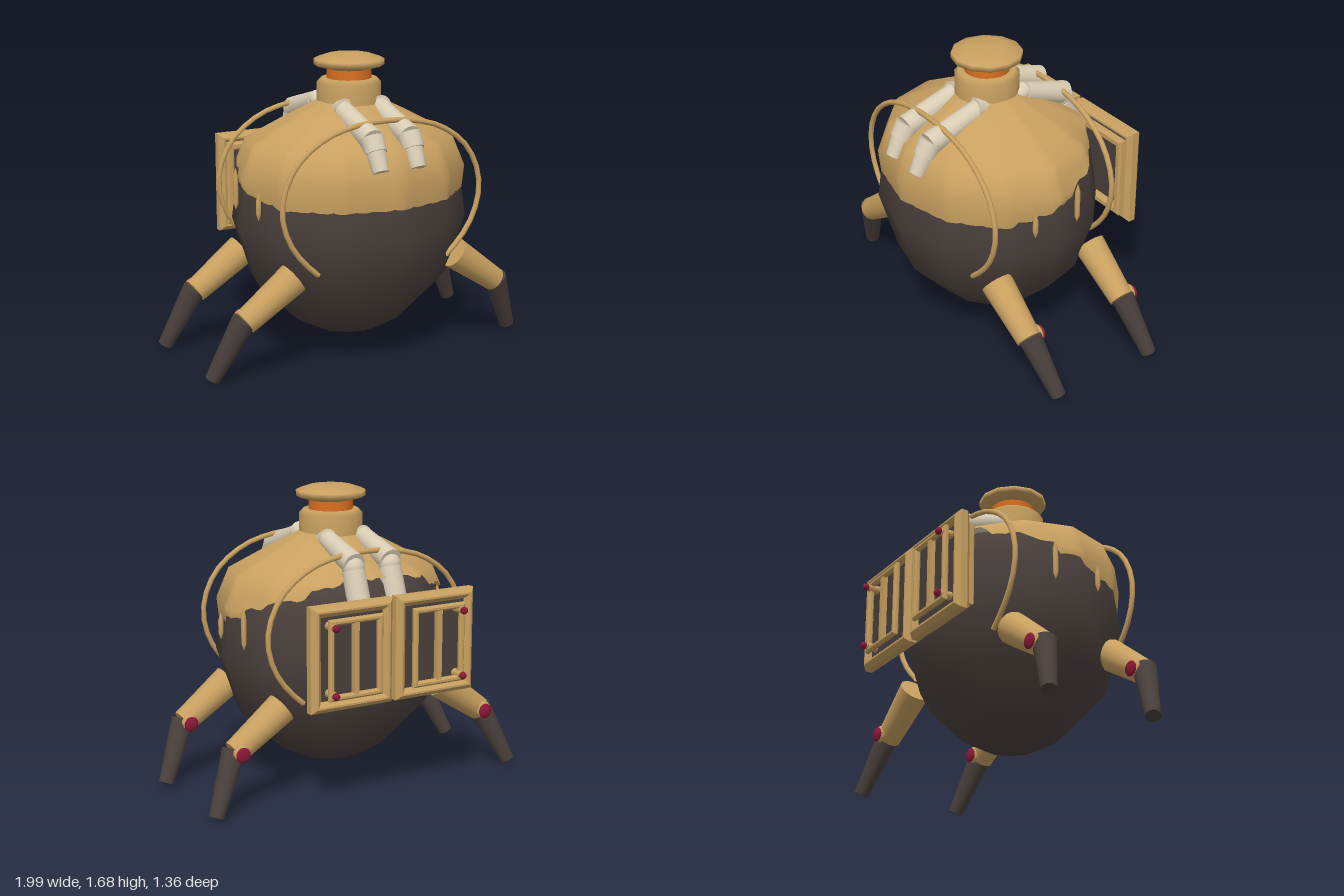
import * as THREE from 'three';

const mat = (name, color, side = THREE.FrontSide) => {
  const m = new THREE.MeshStandardMaterial({ color, side });
  m.name = name;
  return m;
};
const V = (x, y, z) => new THREE.Vector3(x, y, z);
const CZ = 0.075, DEPTH = 0.88; // body centre in z and its flattening

// Piecewise linear lookup in [[key, value], ...] with rising keys
function lookup(table, k) {
  if (k <= table[0][0]) return table[0][1];
  for (let i = 1; i < table.length; i++) {
    const [k0, v0] = table[i - 1], [k1, v1] = table[i];
    if (k <= k1) return v0 + (v1 - v0) * (k - k0) / (k1 - k0);
  }
  return table[table.length - 1][1];
}

// Upper shell: twelve-sided dome whose ragged rim climbs towards the back
function shellGeometry() {
  const profile = [[0.9, 0.652], [1.05, 0.668], [1.22, 0.595], [1.34, 0.365], [1.435, 0.17], [1.44, 0]];
  const rim = [[0, 0.92], [64, 0.92], [66, 0.945], [77, 0.94], [79, 0.965], [87, 0.965], [89, 1.005],
    [102, 1.01], [104, 1.07], [118, 1.085], [122, 1.13], [140, 1.14], [143, 1.2], [156, 1.21], [160, 1.235], [180, 1.235]];
  const levels = [0.9, 1.05, 1.13, 1.22, 1.28, 1.34, 1.435, 1.44];
  const n = 96, pos = [], idx = [], step = Math.PI / 6;
  for (let j = 0; j < levels.length; j++) {
    for (let i = 0; i <= n; i++) {
      const a = -Math.PI + i / n * Math.PI * 2;
      const local = (a + Math.PI * 2) % step;
      const poly = Math.cos(step / 2) / Math.cos(local - step / 2);
      const ragged = 0.006 * Math.sin(i * 2.3);
      const y = Math.max(levels[j], lookup(rim, Math.abs(a) * 180 / Math.PI) + ragged);
      const r = lookup(profile, y) * poly;
      pos.push(Math.sin(a) * r, y, CZ + Math.cos(a) * r * DEPTH);
      if (j < levels.length - 1 && i < n) {
        const p = j * (n + 1) + i, q = p + n + 1;
        idx.push(p, p + 1, q, p + 1, q + 1, q);
      }
    }
  }
  const g = new THREE.BufferGeometry();
  g.setAttribute('position', new THREE.Float32BufferAttribute(pos, 3));
  g.setIndex(idx);
  g.computeVertexNormals();
  return g;
}

function rectPath(path, w, h) {
  path.moveTo(-w / 2, -h / 2);
  path.lineTo(w / 2, -h / 2);
  path.lineTo(w / 2, h / 2);
  path.lineTo(-w / 2, h / 2);
  path.closePath();
  return path;
}

// Rectangular frame, centred on z, with bevelled edges
function frameGeometry(w, h, bar, depth, bevel) {
  const s = rectPath(new THREE.Shape(), w - 2 * bevel, h - 2 * bevel);
  s.holes.push(rectPath(new THREE.Path(), w - 2 * bar + 2 * bevel, h - 2 * bar + 2 * bevel));
  const d = depth - 2 * bevel;
  return new THREE.ExtrudeGeometry(s, { depth: d, bevelEnabled: true, bevelThickness: bevel, bevelSize: bevel, bevelSegments: 1 })
    .translate(0, 0, -d / 2);
}

export function createModel() {
  const root = new THREE.Group();
  root.name = 'walkingPod';
  const tan = mat('tan', 0xc8a060), shellTan = tan;
  shellTan.side = THREE.DoubleSide;
  const dark = mat('darkBrown', 0x4a403c);
  const ivory = mat('ivory', 0xd8ccb4);
  const orange = mat('orange', 0xdc7020);
  const red = mat('crimson', 0x8c1838);

  const add = (parent, name, geo, material, x = 0, y = 0, z = 0) => {
    const m = new THREE.Mesh(geo, material);
    m.name = name;
    m.position.set(x, y, z);
    parent.add(m);
    return m;
  };
  const lathe = (pts, sides) => new THREE.LatheGeometry(pts.map(p => new THREE.Vector2(...p)), sides);
  // Tapered cylinder running from a to b
  const limb = (parent, name, a, b, ra, rb, material, sides = 14) => {
    const dir = b.clone().sub(a);
    const m = add(parent, name, new THREE.CylinderGeometry(rb, ra, dir.length(), sides), material);
    m.position.copy(a).addScaledVector(dir, 0.5);
    m.quaternion.setFromUnitVectors(V(0, 1, 0), dir.normalize());
    return m;
  };

  // Round body and its upper shell
  const body = add(root, 'body', lathe([[0, 0.1], [0.2, 0.13], [0.33, 0.2], [0.57, 0.43], [0.677, 0.76],
    [0.635, 1.05], [0.55, 1.2], [0.33, 1.31], [0, 1.4]], 12), dark, 0, 0, CZ);
  body.scale.z = DEPTH;
  add(root, 'upperShell', shellGeometry(), shellTan);

  // Neck, glowing band and lid
  add(root, 'neck', lathe([[0.18, 1.38], [0.18, 1.525], [0.155, 1.55], [0, 1.55]], 16), tan, 0, 0, CZ);
  add(root, 'neckBand', new THREE.CylinderGeometry(0.125, 0.125, 0.09, 20), orange, 0, 1.575, CZ);
  add(root, 'lid', lathe([[0, 1.6], [0.125, 1.602], [0.195, 1.622], [0.195, 1.655], [0.12, 1.68], [0, 1.688]], 12),
    tan, 0, 0, CZ);

  // Hoops before and behind the neck
  const half = [[0.405, 0.57], [0.5, 0.66], [0.58, 0.78], [0.617, 0.92], [0.6, 1.05], [0.52, 1.19], [0.36, 1.305], [0.18, 1.357]];
  const hoop = [...half, [0, 1.37], ...half.slice().reverse().map(([x, y]) => [-x, y])];
  for (const z of [0.46, -0.32]) {
    const curve = new THREE.CatmullRomCurve3(hoop.map(([x, y]) => V(x, y, z)));
    add(root, z > 0 ? 'frontHoop' : 'backHoop', new THREE.TubeGeometry(curve, 32, 0.015, 8), tan);
  }

  for (const s of [1, -1]) {
    const side = s > 0 ? 'left' : 'right';

    // Jointed hoses over the front and the back
    const hoses = new THREE.Group();
    hoses.name = side + 'Hoses';
    root.add(hoses);
    const hx = s * 0.115;
    [[1.39, 0.16, 1.405, 0.24, 0.05, 0.06], [1.4, 0.2, 1.285, 0.53, 0.056, 0.066], [1.3, 0.52, 1.225, 0.565, 0.066, 0.062],
      [1.26, 0.545, 1.13, 0.615, 0.058, 0.045],
      [1.37, 0.03, 1.42, -0.1, 0.04, 0.05], [1.405, -0.09, 1.315, -0.37, 0.055, 0.066],
      [1.28, -0.36, 1.01, -0.455, 0.064, 0.068], [1.05, -0.44, 0.76, -0.46, 0.064, 0.055]]
      .forEach(([y0, z0, y1, z1, r0, r1]) =>
        limb(hoses, 'hoseSegment', V(hx, y0, z0), V(hx, y1, z1), r0, r1, ivory));
    add(hoses, 'hoseElbow', new THREE.SphereGeometry(0.062, 12, 8), ivory, hx, 1.295, -0.36);

    // Drips under the rim of the shell
    for (const [z, top] of [[0.21, 1.0], [-0.07, 1.08]]) {
      const y = [0.84, 0.88, top - 0.05, top];
      add(root, side + 'Drip', lathe([[0, y[0]], [0.015, y[1]], [0.015, y[2]], [0, y[3]]], 8), tan, s * 0.632, 0, z);
    }

    // Legs, front and back, with a knee bolt on the rear side
    for (const z of [0.37, -0.27]) {
      const leg = new THREE.Group();
      leg.name = side + (z > 0 ? 'FrontLeg' : 'BackLeg');
      leg.position.z = z;
      root.add(leg);
      limb(leg, 'upperLeg', V(s * 0.51, 0.55, 0.005), V(s * 0.8, 0.345, 0), 0.09, 0.07, tan, 16);
      limb(leg, 'lowerLeg', V(s * 0.805, 0.36, 0), V(s * 0.957, 0.028, -0.083), 0.066, 0.042, dark, 16);
      const collar = add(leg, 'kneeCollar', new THREE.SphereGeometry(0.05, 12, 8), tan, s * 0.79, 0.355, -0.06);
      collar.scale.z = 0.5;
      const bolt = add(leg, 'kneeBolt', new THREE.SphereGeometry(0.043, 12, 8), red, s * 0.79, 0.35, -0.083);
      bolt.scale.z = 0.4;
    }

    // Rear hatch panel with frame, grille and knobs
    const panel = new THREE.Group();
    panel.name = side + 'RearPanel';
    panel.position.set(s * 0.262, 0.88, 0);
    root.add(panel);
    add(panel, 'outerFrame', frameGeometry(0.5, 0.575, 0.06, 0.09, 0.025), tan, 0, 0, -0.57);
    add(panel, 'innerRim', frameGeometry(0.44, 0.48, 0.045, 0.05, 0.01), tan, 0, 0, -0.51);
    add(panel, 'panelPlate', new THREE.BoxGeometry(0.42, 0.47, 0.06), dark, 0, 0, -0.555);
    add(panel, 'grilleFrame', frameGeometry(0.33, 0.44, 0.032, 0.035, 0.01), tan, 0, 0, -0.628);
    add(panel, 'grilleBar', new THREE.BoxGeometry(0.032, 0.4, 0.03), tan, 0, 0, -0.626);
    for (const y of [0.18, -0.185]) {
      limb(panel, 'knobStem', V(s * 0.14, y, -0.58), V(s * 0.14, y, -0.655), 0.024, 0.02, tan, 10);
      add(panel, 'knob', new THREE.SphereGeometry(0.021, 10, 8), red, s * 0.14, y, -0.665);
    }
  }
  return root;
}
